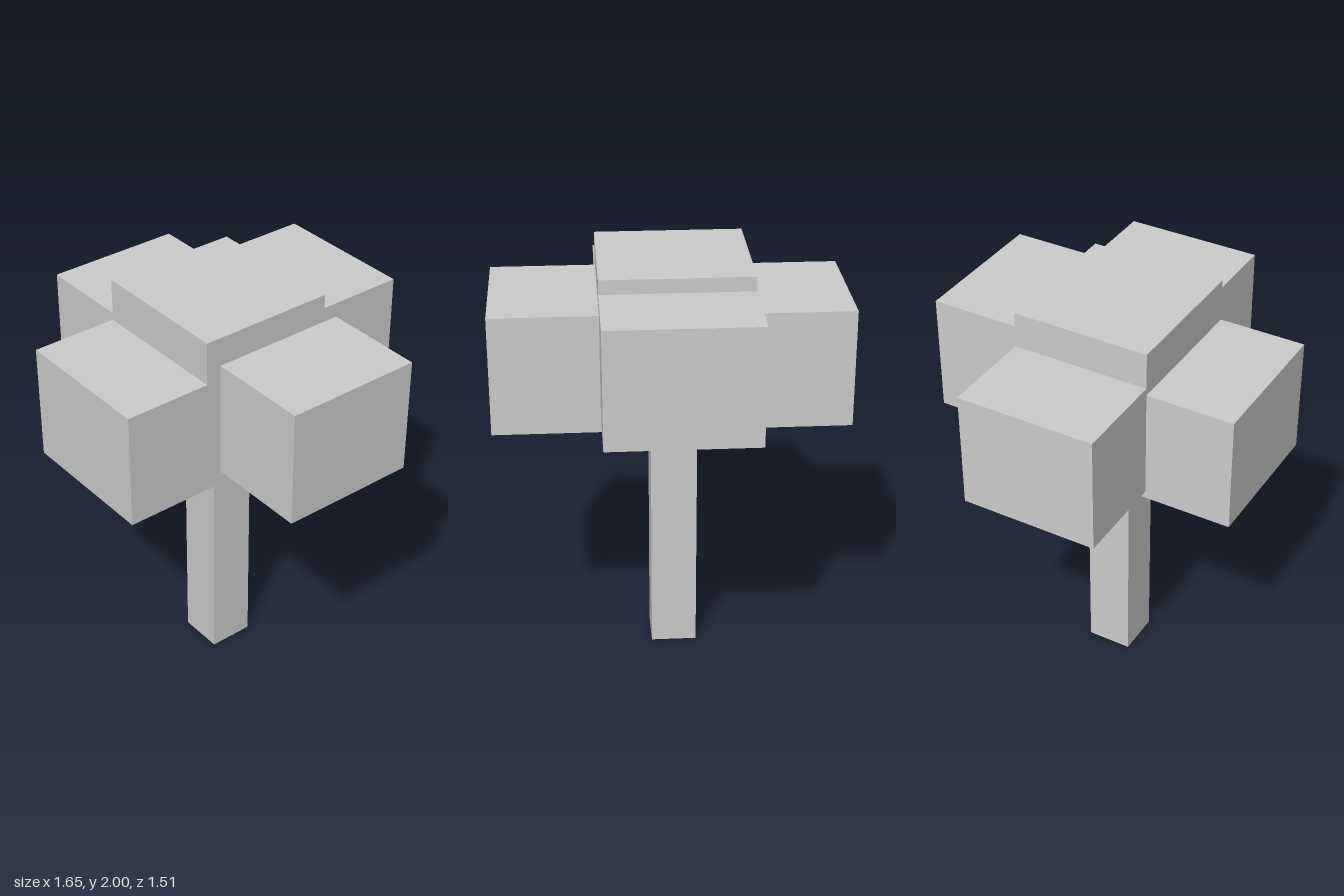
import * as THREE from 'three';

export function createModel() {
  const tree = new THREE.Group();
  tree.name = 'blockTree';
  const grey = new THREE.MeshStandardMaterial({ color: 0xcccccc });
  grey.name = 'plain grey';

  function box(name, size, position, parent = tree) {
    const mesh = new THREE.Mesh(new THREE.BoxGeometry(...size), grey);
    mesh.name = name;
    mesh.position.set(...position);
    parent.add(mesh);
    return mesh;
  }

  // Square trunk, reaching into the crown
  const trunkX = -0.02;
  box('trunk', [0.22, 1.5, 0.22], [trunkX, 0.75, 0]);

  // Crown: five equal blocks at staggered heights
  const leaf = [0.7, 0.56, 0.665];
  box('crownCentre', leaf, [-0.02, 1.72, 0]);
  box('crownFront', leaf, [-0.02, 1.512, 0.42]);
  box('crownBack', leaf, [-0.02, 1.652, -0.422]);
  box('crownLeft', leaf, [0.473, 1.582, -0.072]);
  box('crownRight', leaf, [-0.477, 1.547, 0]);

  // Branches: square bars rising outwards from each trunk face
  function branch(name, yaw, pitch, footY, z = 0) {
    const arm = new THREE.Group();
    arm.name = name;
    arm.position.set(trunkX, 0, z);
    arm.rotation.y = THREE.MathUtils.degToRad(yaw);
    const a = THREE.MathUtils.degToRad(pitch);
    const along = 0.12; // bar centre, measured outwards from the trunk face
    const bar = box(name + 'Bar', [0.34, 0.1, 0.1], [
      0.11 - 0.05 * Math.sin(a) + along * Math.cos(a),
      footY + 0.05 * Math.cos(a) + along * Math.sin(a),
      0,
    ], arm);
    bar.rotation.z = a;
    tree.add(arm);
  }
  branch('branchLeft', 5, 46, 1.105, -0.008);
  branch('branchBack', 90, 54, 1.13);
  branch('branchRight', 180, 46, 1.11);
  branch('branchFront', 270, 46, 1.105);

  return tree;
}
